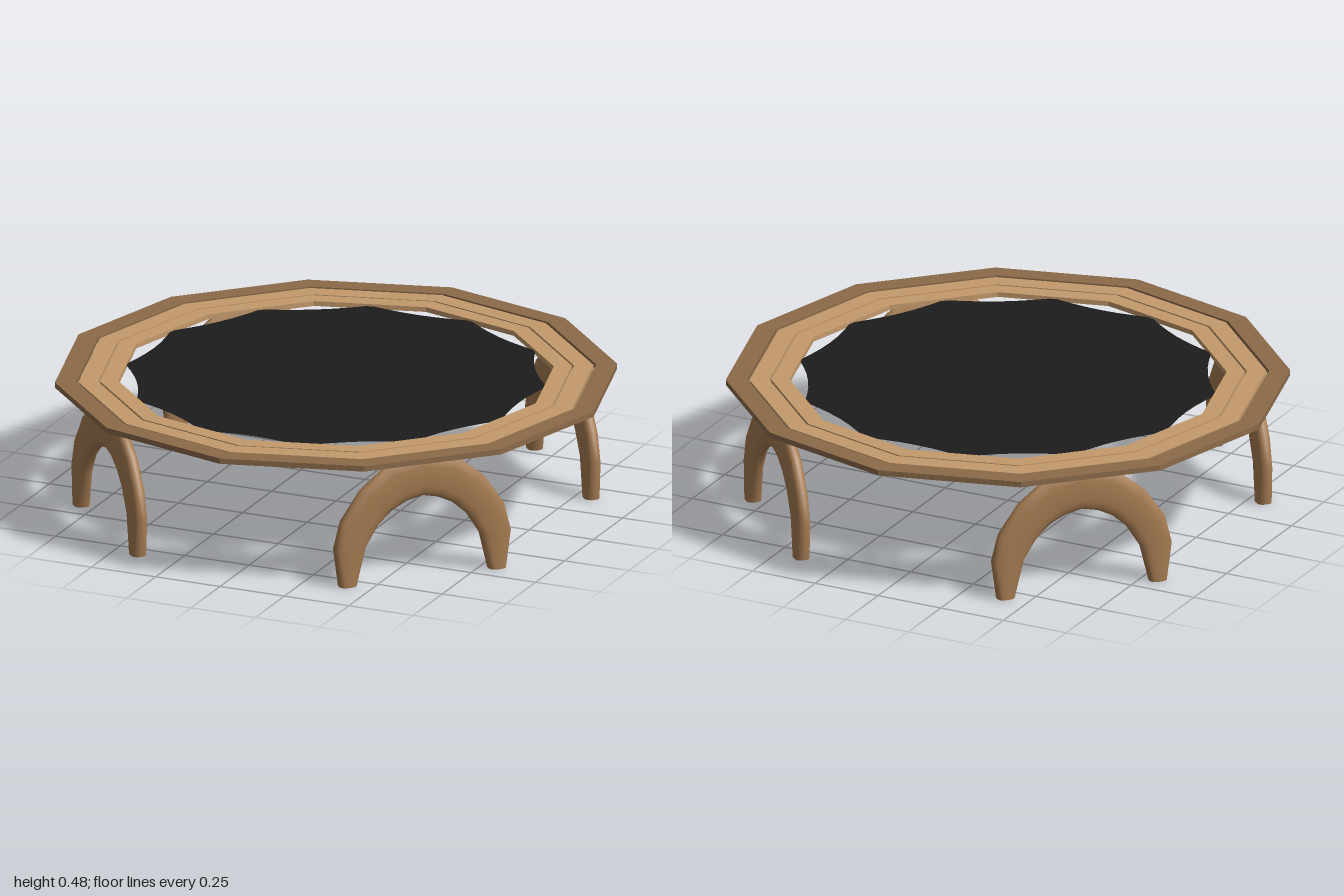
import * as THREE from 'three';

const SIDES = 12;
const mat = (color, side = THREE.FrontSide) => new THREE.MeshStandardMaterial({ color, side });

function polygonPoints(radius) {
  return Array.from({ length: SIDES }, (_, i) => {
    const a = (i / SIDES) * Math.PI * 2;
    return new THREE.Vector2(Math.cos(a) * radius, Math.sin(a) * radius);
  });
}

// Flat twelve-sided hoop lying between two heights
function makeHoop(name, outer, inner, y0, y1, material) {
  const shape = new THREE.Shape(polygonPoints(outer));
  shape.holes.push(new THREE.Path(polygonPoints(inner)));
  const geo = new THREE.ExtrudeGeometry(shape, { depth: y1 - y0, bevelEnabled: false });
  geo.rotateX(-Math.PI / 2);
  geo.translate(0, y0, 0);
  const mesh = new THREE.Mesh(geo, material);
  mesh.name = name;
  return mesh;
}

// Scalloped, slightly sagging sheet: twelve tips halfway between the hoop corners
function makeSheet() {
  const rings = 6, perScallop = 6, n = SIDES * perScallop;
  const pos = [0, 0.455, 0], idx = [];
  for (let k = 1; k <= rings; k++) {
    for (let i = 0; i < n; i++) {
      const f = k / rings;
      const u = ((i + perScallop / 2) % perScallop) / (perScallop / 2) - 1;
      const r = (0.708 + 0.047 * u * u) * f;
      const a = (i / n) * Math.PI * 2;
      pos.push(Math.cos(a) * r, 0.455 + 0.015 * Math.pow(f, 1.2), Math.sin(a) * r);
    }
  }
  for (let i = 0; i < n; i++) {
    const j = (i + 1) % n;
    idx.push(0, 1 + j, 1 + i);
    for (let k = 0; k < rings - 1; k++) {
      const a = 1 + k * n, b = a + n;
      idx.push(a + i, a + j, b + j, a + i, b + j, b + i);
    }
  }
  const geo = new THREE.BufferGeometry();
  geo.setAttribute('position', new THREE.Float32BufferAttribute(pos, 3));
  geo.setIndex(idx);
  geo.computeVertexNormals();
  const mesh = new THREE.Mesh(geo, mat(0x1c1c1c, THREE.DoubleSide));
  mesh.name = 'sheet';
  return mesh;
}

// Arched leg: rounded sections swept between an outer and an inner edge
function makeLegGeometry() {
  const outer = [[0.315, 0], [0.335, 0.14], [0.31, 0.24], [0.235, 0.35], [0.13, 0.435], [0, 0.462]];
  const inner = [[0.25, 0], [0.215, 0.14], [0.165, 0.22], [0.115, 0.265], [0.06, 0.292], [0, 0.305]];
  const mirror = (pts) => [...pts, ...pts.slice(0, -1).reverse().map(([x, y]) => [-x, y])];
  const out = mirror(outer), inn = mirror(inner);
  const n = 16, halfDepth = 0.028, pos = [], idx = [];
  const round = (v) => Math.sign(v) * Math.pow(Math.abs(v), 0.75);
  out.forEach(([ox, oy], k) => {
    const [ix, iy] = inn[k];
    for (let i = 0; i < n; i++) {
      const a = (i / n) * Math.PI * 2;
      const t = (1 + round(Math.cos(a))) / 2;
      pos.push(ix + (ox - ix) * t, iy + (oy - iy) * t, round(Math.sin(a)) * halfDepth);
    }
  });
  for (let k = 0; k < out.length - 1; k++) {
    for (let i = 0; i < n; i++) {
      const a = k * n + i, b = k * n + ((i + 1) % n);
      idx.push(a, a + n, b + n, a, b + n, b);
    }
  }
  // Flat soles with their own vertices so the rim stays sharp
  [0, out.length - 1].forEach((k) => {
    const base = pos.length / 3;
    for (let i = 0; i < n; i++) pos.push(...pos.slice((k * n + i) * 3, (k * n + i) * 3 + 3));
    for (let i = 1; i < n - 1; i++) {
      if (k === 0) idx.push(base, base + i, base + i + 1);
      else idx.push(base, base + i + 1, base + i);
    }
  });
  const geo = new THREE.BufferGeometry();
  geo.setAttribute('position', new THREE.Float32BufferAttribute(pos, 3));
  geo.setIndex(idx);
  geo.computeVertexNormals();
  return geo;
}

export function createModel() {
  const group = new THREE.Group();
  group.name = 'roundTable';

  // Three nested hoops with narrow gaps
  const darkWood = mat(0x8b6b4a), lightWood = mat(0xc49a6c);
  group.add(makeHoop('outerRim', 1, 0.925, 0.46, 0.48, darkWood));
  group.add(makeHoop('middleHoop', 0.916, 0.847, 0.46, 0.478, lightWood));
  group.add(makeHoop('innerHoop', 0.839, 0.775, 0.46, 0.478, lightWood));

  group.add(makeSheet());

  // Four arched legs on the diagonals, each facing outwards
  const legGeo = makeLegGeometry();
  const legMat = mat(0xa67c52, THREE.DoubleSide);
  ['frontLeftLeg', 'backLeftLeg', 'backRightLeg', 'frontRightLeg'].forEach((name, i) => {
    const angle = Math.PI / 4 + (i * Math.PI) / 2;
    const leg = new THREE.Mesh(legGeo, legMat);
    leg.name = name;
    leg.position.set(Math.sin(angle) * 0.858, 0, Math.cos(angle) * 0.858);
    leg.rotation.y = angle;
    group.add(leg);
  });

  return group;
}
